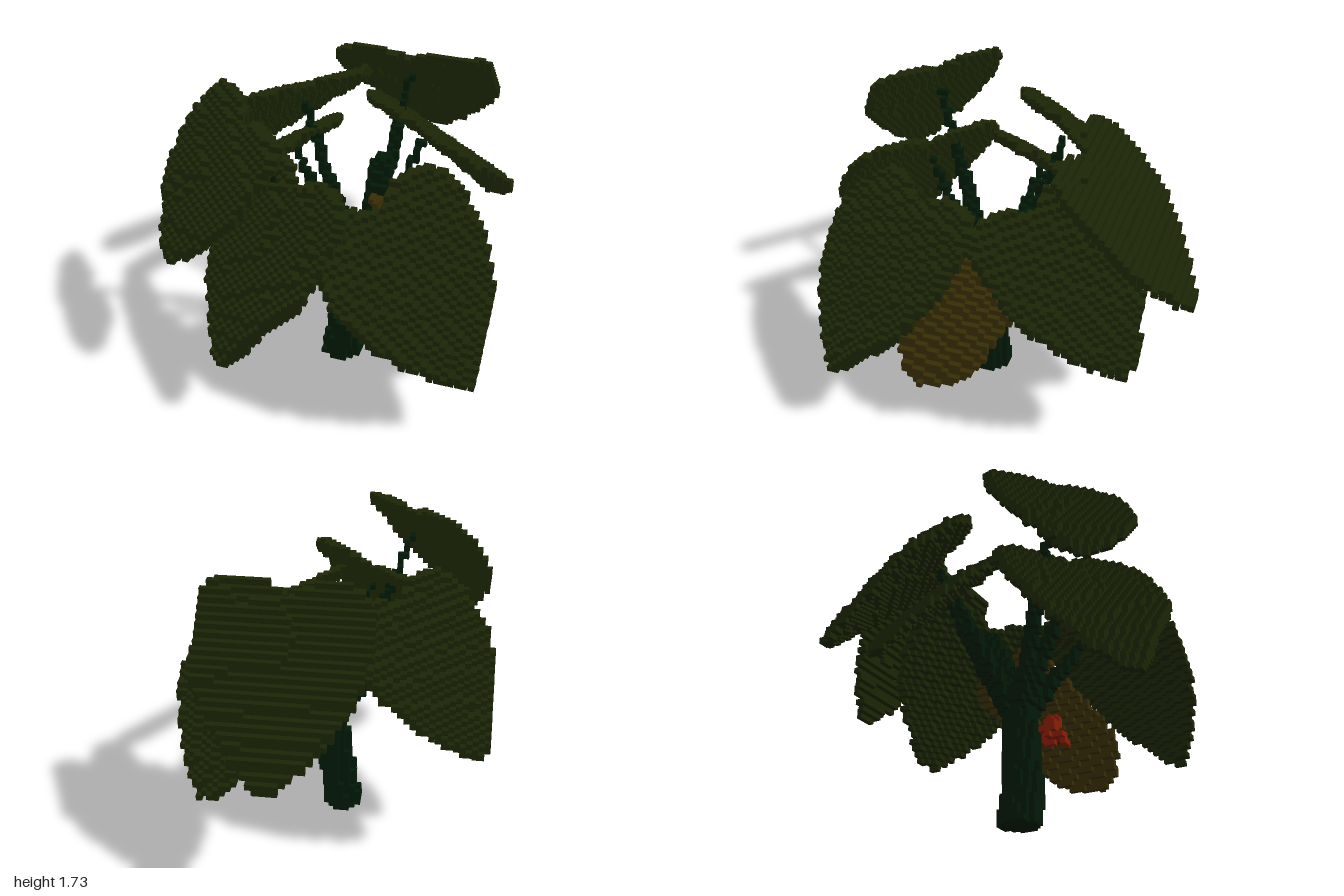
import * as THREE from 'three';

const V = 2 / 66; // voxel edge
const vec = (p) => new THREE.Vector3(...p);
const mat = (name, color) => Object.assign(new THREE.MeshStandardMaterial({ color }), { name });

export function createModel() {
  const leafGreen = mat('leaf green', 0x1b2505);
  const stemGreen = mat('stem green', 0x021906);
  const witheredOchre = mat('withered ochre', 0x372d05);
  const flowerRed = mat('flower red', 0x8a1d05);

  const taken = new Set(); // every filled cell of the model
  const parts = [];
  const key = (c) => c.join();

  // Collects the voxels touched by a part; earlier parts keep their cells
  function addPart(name, material, fill) {
    const cells = [];
    fill((p) => {
      const c = [Math.floor(p.x / V), Math.floor(p.y / V), Math.floor(p.z / V)];
      if (c[1] < 0 || Math.abs(c[0] + 0.5) > 28 || Math.abs(c[2] + 0.5) > 33) return;
      const k = key(c);
      if (taken.has(k)) return;
      taken.add(k);
      cells.push(c);
    });
    parts.push({ name, material, cells });
  }

  // Rounded stem along a curve, tapering from r0 to r1
  function stem(points, r0, r1) {
    const curve = new THREE.CatmullRomCurve3(points.map(vec));
    const steps = Math.ceil(curve.getLength() / (V * 0.4));
    return (put) => {
      for (let i = 0; i <= steps; i++) {
        const p = curve.getPoint(i / steps);
        const r = r0 + (r1 - r0) * (i / steps);
        put(p);
        const n = Math.ceil(r / V);
        const base = p.clone().divideScalar(V).floor();
        for (let x = -n; x <= n; x++) for (let y = -n; y <= n; y++) for (let z = -n; z <= n; z++) {
          const q = base.clone().add(new THREE.Vector3(x + 0.5, y + 0.5, z + 0.5)).multiplyScalar(V);
          if (q.distanceTo(p) <= r) put(q);
        }
      }
    };
  }

  // Heart-shaped blade: notch at the stalk, two lobes behind it, slight bow toward the tip;
  // a higher fullness gives a blunter tip
  function blade(notch, tip, across, width, fullness = 2.4) {
    const n0 = vec(notch);
    const t = vec(tip).sub(n0);
    const len = t.length();
    t.normalize();
    const w = vec(across);
    w.addScaledVector(t, -w.dot(t)).normalize();
    const up = new THREE.Vector3().crossVectors(t, w);
    if (up.y < 0) up.negate();
    const h = width / 2;
    const lobe = 0.15 * len;
    const step = V * 0.35;
    return (put) => {
      for (let u = -lobe; u <= len; u += step) for (let s = -h; s <= h; s += step) {
        const k = u / len;
        const side = Math.abs(s) * 2 / h - 1;
        const inside = u < 0
          ? Math.abs(side) ** (side < 0 ? 1.4 : 2.2) + (-u / lobe) ** 1.7 <= 1
          : Math.abs(s) <= h * (1 - k ** fullness) + V * 0.8;
        if (!inside) continue;
        put(n0.clone().addScaledVector(t, u).addScaledVector(w, s)
          .addScaledVector(up, 0.16 * len * k * (1 - k)));
      }
    };
  }

  // Little curled flower on the trunk
  addPart('flower', flowerRed, (put) => {
    stem([[0.05, 0.53, 0.28], [0.09, 0.51, 0.33], [0.13, 0.47, 0.34]], 0.033, 0.02)(put);
    stem([[0.07, 0.55, 0.31], [0.12, 0.59, 0.29], [0.19, 0.61, 0.23], [0.195, 0.54, 0.2], [0.16, 0.5, 0.26]], 0.033, 0.016)(put);
  });

  // Trunk
  addPart('trunk', stemGreen, stem(
    [[-0.05, 0, 0.17], [-0.02, 0.22, 0.17], [0.01, 0.5, 0.15], [0.05, 0.7, 0.11],
      [0.1, 0.95, 0.0], [0.1, 1.12, -0.08]], 0.105, 0.06));

  // Leaf table: name, notch, tip, direction across, width
  const leaves = [
    ['back', [0.16, 1.57, -0.43], [0.19, 0.88, -0.99], [1, 0.03, 0], 0.82],
    ['backLeft', [0.29, 1.29, -0.22], [0.53, 0.66, -0.75], [0.865, -0.13, 0.485], 0.82],
    ['frontLeft', [0.27, 1.19, 0.47], [0.8, 0.51, 0.72], [0.48, 0.12, -0.87], 0.93],
    ['front', [-0.17, 1.3, 0.56], [-0.42, 0.51, 0.96], [0.79, 0.08, 0.61], 0.84],
    ['frontRight', [-0.4, 1.63, 0.58], [-0.71, 1.02, 0.84], [0.75, 0.05, 0.65], 0.72],
    ['backRight', [-0.37, 1.45, -0.17], [-0.8, 0.86, -0.51], [-0.64, 0.05, 0.77], 0.81],
    ['right', [-0.38, 1.22, -0.02], [-0.8, 0.73, -0.21], [-0.46, 0, 0.89], 0.66],
  ];

  // Leaf stalks fan out from the upper trunk and end just under the blades
  for (const [name, [x, y, z]] of leaves) {
    const foot = [0.03 + x * 0.1, 0.64, 0.12 + z * 0.06];
    const along = (f, sag) => [foot[0] + (x - foot[0]) * f, foot[1] + (y - foot[1]) * f - sag, foot[2] + (z - foot[2]) * f];
    addPart(name + 'Stalk', stemGreen, stem([foot, along(0.5, 0.03), along(0.93, 0.02)], 0.052, 0.016));
  }

  // Blades, with one withered leaf low on the side
  for (const [name, ...shape] of leaves) addPart(name + 'Leaf', leafGreen, blade(...shape));
  addPart('witheredLeaf', witheredOchre, blade([0.19, 0.91, 0.03], [0.64, 0.38, 0.35], [-0.05, 0.5, 0.85], 0.42, 6));

  // Outer voxel faces of each part
  const group = new THREE.Group();
  group.name = 'plant';
  for (const { name, material, cells } of parts) {
    const pos = [], nor = [], idx = [];
    for (const c of cells) for (let a = 0; a < 3; a++) for (const d of [-1, 1]) {
      const next = [...c];
      next[a] += d;
      if (taken.has(key(next))) continue;
      const b = pos.length / 3;
      for (const [i, j] of [[0, 0], [1, 0], [1, 1], [0, 1]]) {
        const p = [...c];
        if (d > 0) p[a] += 1;
        p[(a + 1) % 3] += i;
        p[(a + 2) % 3] += j;
        pos.push(p[0] * V, p[1] * V, p[2] * V);
        const n = [0, 0, 0];
        n[a] = d;
        nor.push(...n);
      }
      if (d > 0) idx.push(b, b + 1, b + 2, b, b + 2, b + 3);
      else idx.push(b, b + 2, b + 1, b, b + 3, b + 2);
    }
    const geo = new THREE.BufferGeometry();
    geo.setAttribute('position', new THREE.Float32BufferAttribute(pos, 3));
    geo.setAttribute('normal', new THREE.Float32BufferAttribute(nor, 3));
    geo.setIndex(idx);
    const mesh = new THREE.Mesh(geo, material);
    mesh.name = name;
    group.add(mesh);
  }
  return group;
}
